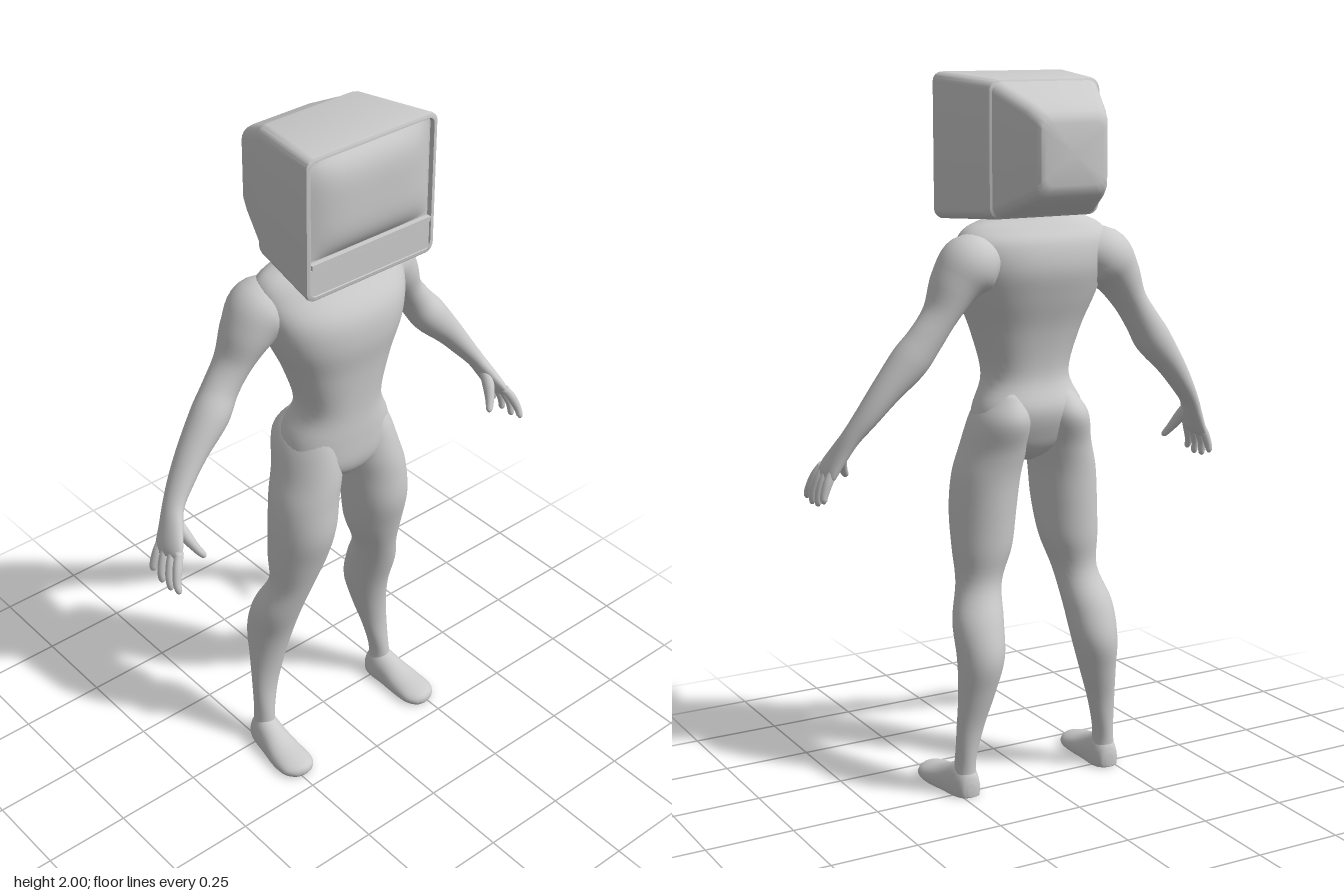
import * as THREE from 'three';
import { toCreasedNormals } from 'three/addons/utils/BufferGeometryUtils.js';

const material = new THREE.MeshStandardMaterial({ color: 0xcccccc });
const X = new THREE.Vector3(1, 0, 0), Z = new THREE.Vector3(0, 0, 1);

function addPart(parent, name, geometry) {
  const mesh = new THREE.Mesh(geometry, material);
  mesh.name = name;
  parent.add(mesh);
  return mesh;
}

// Skins a stack of closed rings and closes both ends
function skin(rings) {
  const n = rings[0].length;
  const middle = (ring) => {
    const c = new THREE.Vector3();
    ring.forEach((p) => c.add(p));
    return c.divideScalar(n);
  };
  const points = rings.flat();
  const index = [];
  for (let k = 0; k < rings.length - 1; k++) {
    for (let i = 0; i < n; i++) {
      const j = (i + 1) % n;
      const a = k * n + i, b = k * n + j;
      index.push(a, b, a + n, b, b + n, a + n);
    }
  }
  const first = points.length, last = first + 1, top = (rings.length - 1) * n;
  points.push(middle(rings[0]), middle(rings[rings.length - 1]));
  for (let i = 0; i < n; i++) {
    const j = (i + 1) % n;
    index.push(first, j, i, last, top + i, top + j);
  }
  const geo = new THREE.BufferGeometry().setFromPoints(points);
  geo.setIndex(index);
  geo.computeVertexNormals();
  return geo;
}

// Smooth body form through sections [x, y, z, radiusA, radiusB].
// axis: fixed ring direction, or null to follow the path.
function loft(sections, { side = 1, axis = null, power = 2, steps = 5, sides = 32, floor = false } = {}) {
  const spline = (pts) => new THREE.CatmullRomCurve3(pts, false, 'catmullrom', 0.5);
  const path = spline(sections.map(([x, y, z]) => new THREE.Vector3(x * side, y, z)));
  const radii = spline(sections.map(([, , , a, b]) => new THREE.Vector3(a, b, 0)));
  const count = (sections.length - 1) * steps;
  const rings = [];
  for (let k = 0; k <= count; k++) {
    const c = path.getPoint(k / count), r = radii.getPoint(k / count);
    const t = axis || path.getTangent(k / count);
    const u = axis ? X : t.clone().cross(Z).normalize();
    const v = t.clone().cross(u).normalize();
    const ring = [];
    for (let i = 0; i < sides; i++) {
      const w = (i / sides) * Math.PI * 2;
      const soft = (q) => Math.sign(q) * Math.abs(q) ** (2 / power);
      const p = c.clone()
        .addScaledVector(u, Math.max(r.x, 0.001) * soft(Math.cos(w)))
        .addScaledVector(v, Math.max(r.y, 0.001) * soft(Math.sin(w)));
      if (floor) p.y = Math.max(p.y, 0);
      ring.push(p);
    }
    rings.push(ring);
  }
  return skin(rings);
}

// Rounded rectangle ring in the xy plane
function rectRing([z, hw, y0, y1, r]) {
  const ring = [];
  for (let c = 0; c < 4; c++) {
    const sx = c === 0 || c === 3 ? 1 : -1, sy = c < 2 ? 1 : -1;
    for (let i = 0; i <= 5; i++) {
      const w = (c + i / 5) * Math.PI / 2;
      ring.push(new THREE.Vector3(
        sx * (hw - r) + r * Math.cos(w),
        (sy > 0 ? y1 - r : y0 + r) + r * Math.sin(w), z));
    }
  }
  return ring;
}

function makeHead() {
  const head = new THREE.Group();
  head.name = 'monitorHead';

  // casing: tapered rear, stepped seam, front shell and recessed face
  const casing = [
    [-0.21, 0.085, 1.715, 1.875, 0.02], [-0.206, 0.098, 1.70, 1.89, 0.025],
    [-0.195, 0.108, 1.685, 1.905, 0.03], [-0.165, 0.121, 1.668, 1.925, 0.03],
    [-0.062, 0.16, 1.626, 1.976, 0.03], [-0.058, 0.162, 1.624, 1.978, 0.03],
    [-0.055, 0.168, 1.621, 1.983, 0.03], [-0.045, 0.172, 1.619, 1.986, 0.03],
    [0.18, 0.211, 1.605, 2.0, 0.025], [0.188, 0.21, 1.606, 1.999, 0.025],
    [0.19, 0.206, 1.61, 1.995, 0.022], [0.19, 0.199, 1.617, 1.988, 0.018],
    [0.178, 0.196, 1.62, 1.985, 0.016],
  ];
  addPart(head, 'casing', toCreasedNormals(skin(casing.map(rectRing)), 0.5));

  // bulging screen
  const screen = new THREE.PlaneGeometry(0.388, 0.272, 24, 20);
  const pos = screen.attributes.position;
  for (let i = 0; i < pos.count; i++) {
    const fx = pos.getX(i) / 0.194, fy = pos.getY(i) / 0.136;
    pos.setZ(i, 0.03 * (1 - fx ** 4) * (1 - fy ** 4));
  }
  screen.computeVertexNormals();
  addPart(head, 'screen', screen).position.set(0, 1.846, 0.177);

  // lower panel and the ledge above it
  const panels = [['lowerPanel', 0.074, 1.655, 0.187], ['ledge', 0.014, 1.703, 0.192]];
  for (const [name, h, y, front] of panels) {
    addPart(head, name, new THREE.BoxGeometry(0.392, h, 0.03)).position.set(0, y, front - 0.015);
  }
  return head;
}

function makeArm(side) {
  const arm = new THREE.Group();
  arm.name = side > 0 ? 'leftArm' : 'rightArm';
  addPart(arm, 'armAndPalm', loft([
    [0.13, 1.52, 0, 0.05, 0.06], [0.2, 1.5, -0.01, 0.083, 0.09], [0.25, 1.45, -0.01, 0.068, 0.078],
    [0.295, 1.375, -0.012, 0.047, 0.058], [0.34, 1.31, -0.01, 0.048, 0.05],
    [0.385, 1.25, 0, 0.052, 0.053], [0.45, 1.175, 0.01, 0.04, 0.045],
    [0.5, 1.11, 0.022, 0.031, 0.039], [0.54, 1.055, 0.038, 0.024, 0.034],
    [0.565, 1.01, 0.058, 0.022, 0.041], [0.588, 0.965, 0.078, 0.019, 0.05],
    [0.596, 0.945, 0.083, 0.012, 0.042],
  ], { side }));

  // four fingers fanned out front to back
  const fingers = [[0.12, 0.156, 0.875], [0.096, 0.12, 0.866], [0.07, 0.082, 0.868], [0.046, 0.044, 0.882]];
  fingers.forEach(([z0, z1, tip], i) => {
    addPart(arm, 'finger' + (i + 1), loft([
      [0.586, 0.972, z0, 0.012, 0.012], [0.604, 0.94, z0 + (z1 - z0) * 0.4, 0.013, 0.013],
      [0.617, 0.905, z0 + (z1 - z0) * 0.75, 0.011, 0.011],
      [0.619, tip + 0.008, z1, 0.009, 0.009], [0.618, tip, z1, 0.003, 0.003],
    ], { side, sides: 12, steps: 4 }));
  });
  addPart(arm, 'thumb', loft([
    [0.553, 1.03, 0.06, 0.014, 0.016], [0.545, 0.99, 0.093, 0.016, 0.018],
    [0.53, 0.955, 0.117, 0.012, 0.013], [0.517, 0.934, 0.13, 0.009, 0.009],
    [0.513, 0.928, 0.133, 0.003, 0.003],
  ], { side, sides: 14, steps: 4 }));
  return arm;
}

function makeLeg(side) {
  const leg = new THREE.Group();
  leg.name = side > 0 ? 'leftLeg' : 'rightLeg';
  addPart(leg, 'thighAndCalf', loft([
    [0.228, 0.03, 0, 0.036, 0.036], [0.227, 0.1, -0.003, 0.029, 0.034],
    [0.215, 0.2, -0.012, 0.04, 0.034], [0.198, 0.3, -0.02, 0.053, 0.05],
    [0.185, 0.4, -0.02, 0.066, 0.07], [0.178, 0.5, 0.008, 0.072, 0.073],
    [0.156, 0.6, 0.045, 0.065, 0.066], [0.14, 0.7, 0.055, 0.085, 0.085],
    [0.132, 0.8, 0.065, 0.093, 0.1], [0.122, 0.9, 0.062, 0.095, 0.103],
    [0.104, 0.98, 0.053, 0.09, 0.108], [0.09, 1.07, 0.034, 0.077, 0.113],
    [0.075, 1.14, 0.045, 0.045, 0.08],
  ], { side, axis: new THREE.Vector3(0, 1, 0) }));
  addPart(leg, 'foot', loft([
    [0.228, 0.02, -0.044, 0.012, 0.02], [0.228, 0.02, -0.034, 0.03, 0.05],
    [0.229, 0.02, 0, 0.042, 0.075], [0.234, 0.02, 0.05, 0.046, 0.058],
    [0.239, 0.015, 0.11, 0.053, 0.04], [0.24, 0.014, 0.165, 0.053, 0.028],
    [0.238, 0.014, 0.195, 0.035, 0.02], [0.236, 0.014, 0.206, 0.01, 0.008],
  ], { side, axis: Z, floor: true }));
  return leg;
}

export function createModel() {
  const model = new THREE.Group();
  model.name = 'figure';

  // torso from crotch to neck base
  addPart(model, 'torso', loft([
    [0, 0.935, 0.06, 0.02, 0.03], [0, 0.965, 0.058, 0.085, 0.075], [0, 1.01, 0.055, 0.16, 0.1],
    [0, 1.09, 0.045, 0.16, 0.112], [0, 1.18, 0.058, 0.125, 0.097], [0, 1.3, 0.054, 0.158, 0.108],
    [0, 1.4, 0.045, 0.2, 0.13], [0, 1.48, 0.03, 0.222, 0.135], [0, 1.55, 0.012, 0.228, 0.108],
    [0, 1.59, 0.012, 0.205, 0.08], [0, 1.615, 0.012, 0.15, 0.06], [0, 1.64, 0.012, 0.08, 0.045],
  ], { axis: new THREE.Vector3(0, 1, 0), power: 2.3, sides: 48 }));

  for (const side of [1, -1]) model.add(makeArm(side), makeLeg(side));
  model.add(makeHead());
  return model;
}
